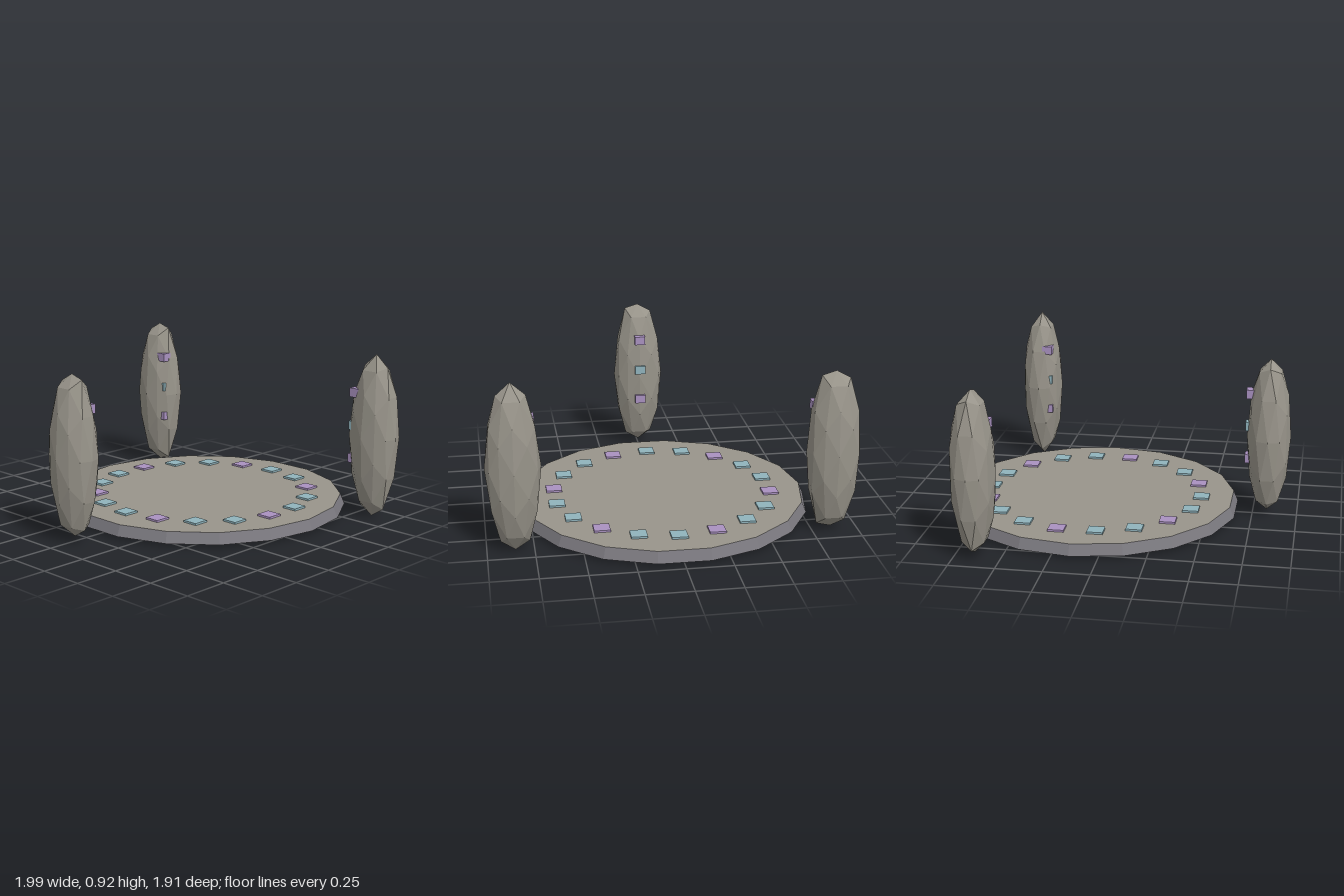
import * as THREE from 'three';

const mat = (name, color, extra = {}) => {
  const m = new THREE.MeshStandardMaterial({ color, ...extra });
  m.name = name;
  return m;
};

export function createModel() {
  const stone = mat('stone', 0x98948a, { flatShading: true, side: THREE.DoubleSide });
  const slate = mat('slate', 0x7a787e, { flatShading: true, side: THREE.DoubleSide });
  const blue = mat('paleBlue', 0x90b3bc);
  const purple = mat('lilac', 0xa991c0);

  const model = new THREE.Group();
  const centreZ = -0.15;
  const add = (parent, name, geometry, material, x, y, z) => {
    const mesh = new THREE.Mesh(geometry, material);
    mesh.name = name;
    mesh.position.set(x, y, z);
    parent.add(mesh);
    return mesh;
  };

  // Platform: sloping rim, open underneath, with a flat floor
  const platform = new THREE.Group();
  platform.name = 'platform';
  model.add(platform);
  add(platform, 'platformRim',
    new THREE.CylinderGeometry(0.795, 0.82, 0.06, 18, 1, true, Math.PI / 18), slate, 0, 0.05, centreZ);
  add(platform, 'platformFloor',
    new THREE.CircleGeometry(0.795, 18).rotateX(-Math.PI / 2), stone, 0, 0.08, centreZ);

  // Ring of glowing tiles, every third one lilac
  const tileGeometry = new THREE.BoxGeometry(0.088, 0.02, 0.088);
  for (let i = 0; i < 18; i++) {
    const a = (i * Math.PI) / 9;
    add(platform, 'floorTile', tileGeometry, i % 3 === 1 ? purple : blue,
      0.61 * Math.sin(a), 0.081, centreZ + 0.61 * Math.cos(a));
  }

  // Faceted standing stone; the four shoulders and two tips are stretched unevenly
  const rock = ({ tips, shoulders }) => {
    const g = new THREE.IcosahedronGeometry(1, 1);
    const p = g.attributes.position;
    for (let i = 0; i < p.count; i++) {
      const x = p.getX(i), y = p.getY(i), z = p.getZ(i);
      let k = 1;
      if (Math.abs(z) < 0.01 && Math.abs(y) > 0.7) {
        if (Math.abs(x) < 0.01) k = tips[y > 0 ? 0 : 1];
        else k = shoulders[(y > 0 ? 0 : 2) + (x > 0 ? 1 : 0)];
      }
      p.setXYZ(i, x * 0.147, y * 0.46 * k, z * 0.122);
    }
    g.computeVertexNormals();
    return g;
  };

  const stones = [
    { name: 'frontStone', angle: 0, tips: [0.96, 0.95], shoulders: [1.02, 1.07, 0.98, 1.0] },
    { name: 'leftStone', angle: 120, tips: [1.0, 1.01], shoulders: [1.0, 1.0, 1.06, 1.06] },
    { name: 'rightStone', angle: 240, tips: [0.96, 0.96], shoulders: [1.02, 1.07, 1.05, 1.08] },
  ];
  const runeGeometry = new THREE.BoxGeometry(0.062, 0.05, 0.06);
  for (const s of stones) {
    const a = THREE.MathUtils.degToRad(s.angle);
    const group = new THREE.Group();
    group.name = s.name;
    model.add(group);
    add(group, 'stoneBody', rock(s), stone, 0.98 * Math.sin(a), 0.469, centreZ + 0.98 * Math.cos(a));
    // Three small blocks set into the inner face
    [0.335, 0.523, 0.71].forEach((y, i) =>
      add(group, 'stoneBlock', runeGeometry, i === 1 ? blue : purple,
        0.88 * Math.sin(a), y, centreZ + 0.88 * Math.cos(a)));
  }
  return model;
}
